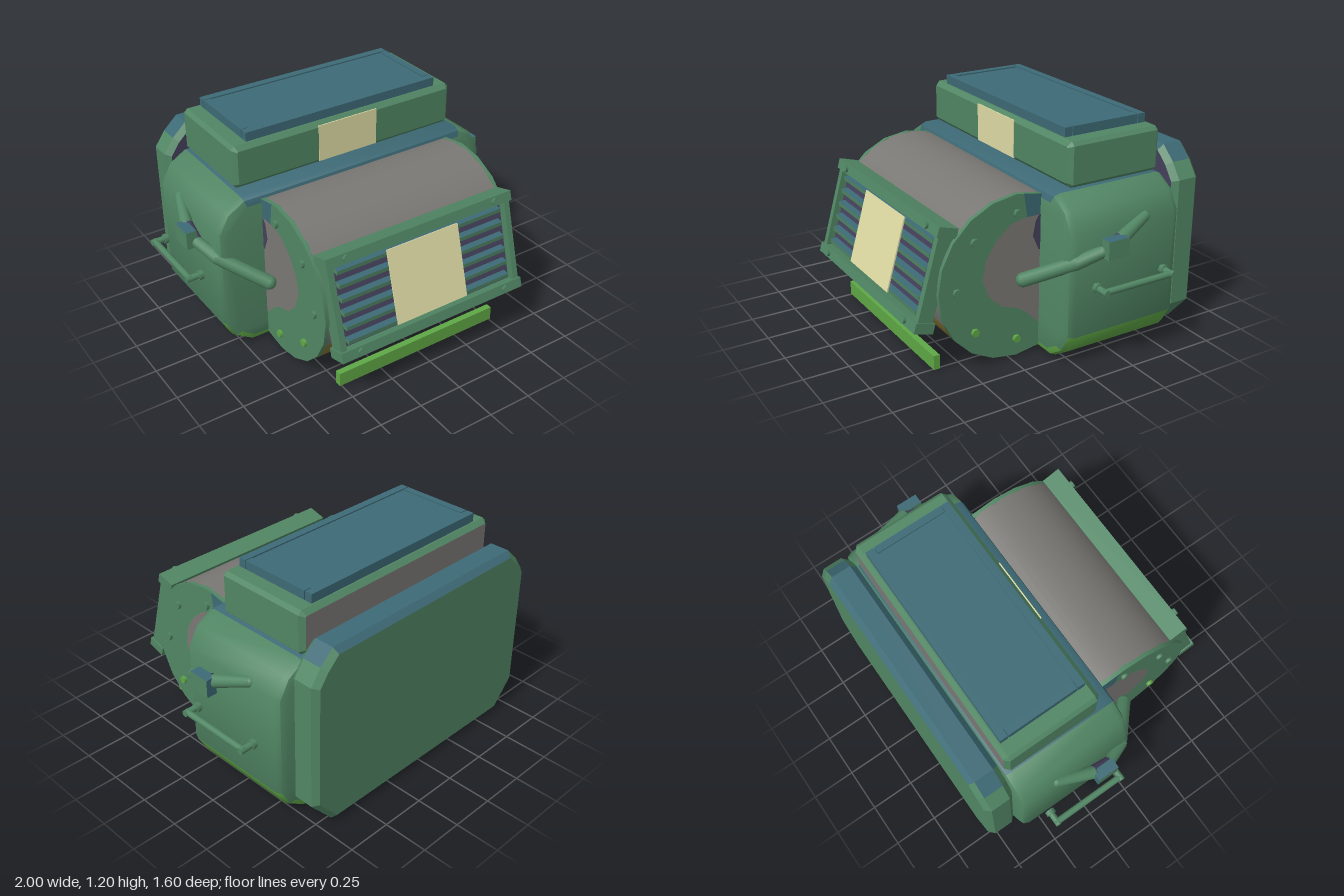
import * as THREE from 'three';
import { toCreasedNormals } from 'three/addons/utils/BufferGeometryUtils.js';

const mat = (name, color) => Object.assign(new THREE.MeshStandardMaterial({ color }), { name });

export function createModel() {
  const root = new THREE.Group();
  const green = mat('shell green', 0x518664);
  const blue = mat('top blue', 0x3d6a76);
  const lime = mat('underside lime', 0x5fa846);
  const grey = mat('drum grey', 0x7a7874);
  const olive = mat('drum olive', 0x807335);
  const purple = mat('recess purple', 0x45405c);
  const cream = mat('label cream', 0xdfdca5);

  const add = (parent, name, geo, material, x = 0, y = 0, z = 0) => {
    const m = new THREE.Mesh(geo, material);
    m.name = name;
    m.position.set(x, y, z);
    parent.add(m);
    return m;
  };
  const box = (w, h, d) => new THREE.BoxGeometry(w, h, d);

  // Groups triangles by the direction they face; pick returns a material index
  const paint = (geo, pick) => {
    geo.clearGroups();
    const p = geo.attributes.position;
    const [a, b, c] = [0, 1, 2].map(() => new THREE.Vector3());
    const n = new THREE.Vector3();
    let start = 0, last = -1;
    for (let i = 0; i < p.count; i += 3) {
      a.fromBufferAttribute(p, i);
      b.fromBufferAttribute(p, i + 1);
      c.fromBufferAttribute(p, i + 2);
      n.crossVectors(b.sub(a), c.sub(a)).normalize();
      const k = pick(n);
      if (k !== last) {
        if (last >= 0) geo.addGroup(start, i - start, last);
        start = i;
        last = k;
      }
    }
    geo.addGroup(start, p.count - start, last);
    return geo;
  };

  // Bevelled block from half an outline (x > 0, bottom to top), between z0 and z1
  const block = (half, z0, z1, bevel, segments = 1) => {
    const pts = [...half, ...half.map(([x, y]) => [-x, y]).reverse()];
    const geo = new THREE.ExtrudeGeometry(new THREE.Shape(pts.map(p => new THREE.Vector2(...p))), {
      depth: z1 - z0 - 2 * bevel, bevelSize: bevel, bevelThickness: bevel,
      bevelOffset: -bevel, bevelSegments: segments,
    });
    return geo.translate(0, 0, z0 + bevel);
  };

  // Main housing, blue on its flat top and front top edge
  const bodyHalf = [[0.7, 0], [0.8, 0.065], [0.86, 0.17], [0.86, 0.74], [0.8, 0.845], [0.7, 0.905]];
  const bodyTop = n => n.y > 0.9 || (n.y > 0.3 && n.z > 0.3 && Math.abs(n.x) < 0.1);
  add(root, 'housing', paint(toCreasedNormals(block(bodyHalf, -0.625, 0.07, 0.045, 2), 0.7),
    n => n.y < -0.2 ? 1 : bodyTop(n) ? 2 : 0), [green, lime, blue]);

  // Back plate
  const backHalf = [[0.66, 0], [0.8, 0.16], [0.8, 0.87], [0.74, 0.955], [0.66, 1.03]];
  add(root, 'backPlate', paint(block(backHalf, -0.8, -0.63, 0.03),
    n => n.y > 0.6 ? 1 : n.z > 0.9 ? 2 : 0), [green, blue, purple]);

  // Top box with lid
  const topHalf = [[0.675, 0.908], [0.695, 0.928], [0.695, 1.13], [0.675, 1.15]];
  add(root, 'topBox', paint(block(topHalf, -0.605, -0.034, 0.025),
    n => n.z < -0.9 ? 1 : 0), [green, grey]);
  add(root, 'lidPanel', box(1.12, 0.045, 0.42), blue, 0, 1.17, -0.32);
  for (const s of [-1, 1]) {
    add(root, 'lidRail', box(1.2, 0.05, 0.044), blue, 0, 1.175, -0.32 + s * 0.23);
    add(root, 'lidSideRail', box(0.04, 0.05, 0.405), blue, s * 0.58, 1.175, -0.32);
  }
  add(root, 'topLabel', box(0.37, 0.21, 0.006), cream, 0, 1.03, -0.035);

  // Drum: grey upper arc, olive lower arc
  const cy = 0.455, cz = 0.21, split = -0.4;
  const arc = (from, to) => new THREE.CylinderGeometry(0.447, 0.447, 1.16, 40, 1, true, from, to - from).rotateZ(Math.PI / 2);
  add(root, 'drumUpper', arc(split, Math.PI), grey, 0, cy, cz);
  add(root, 'drumLower', arc(-Math.PI, split), olive, 0, cy, cz);

  // Thin painted patch on a drum end; points are [z, y]
  const patch = (name, pts, material, s, x) => {
    const shape = new THREE.Shape(pts.map(([z, y]) => new THREE.Vector2(-s * z, y)));
    add(root, name, new THREE.ShapeGeometry(shape).rotateY(s * Math.PI / 2), material, s * x);
  };

  for (const s of [-1, 1]) {
    // Drum end with bolts
    add(root, 'drumEnd', new THREE.CylinderGeometry(0.45, 0.45, 0.025, 20).rotateZ(Math.PI / 2), green, s * 0.588, cy, cz);
    patch('endPatchGrey', [[0.04, 0.14], [0.08, 0.17], [0.16, 0.25], [0.21, 0.28], [0.3, 0.31], [0.37, 0.38],
      [0.41, 0.48], [0.39, 0.59], [0.33, 0.68], [0.25, 0.75], [0.17, 0.77], [0.04, 0.77]], grey, s, 0.602);
    patch('endPatchBlue', [[0.04, 0.77], [0.15, 0.77], [0.17, 0.9], [0.04, 0.87]], blue, s, 0.602);
    patch('endPatchPurple', [[0.04, 0.57], [0.08, 0.58], [0.115, 0.66], [0.1, 0.74], [0.08, 0.77], [0.04, 0.77]], purple, s, 0.604);
    for (let i = -2; i <= 2; i++) {
      const a = i * Math.PI / 4;
      add(root, 'endBolt', new THREE.CylinderGeometry(0.022, 0.022, 0.02, 6).rotateZ(Math.PI / 2),
        i < 0 ? lime : green, s * 0.608, cy + 0.35 * Math.sin(a), cz + 0.35 * Math.cos(a));
    }

    // Bent pipe, its middle length purple behind the clamp
    const pts = [[0.655, 0.46, 0.205], [0.85, 0.585, 0.02], [0.905, 0.64, -0.1], [0.905, 0.685, -0.21], [0.845, 0.745, -0.4]]
      .map(([x, y, z]) => new THREE.Vector3(s * x, y, z));
    const radii = [0.038, 0.037, 0.032, 0.036, 0.028];
    for (let i = 0; i < 5; i++) {
      add(root, 'pipeJoint', new THREE.SphereGeometry(radii[i], 12, 8), green).position.copy(pts[i]);
      if (i === 4) continue;
      const dir = pts[i + 1].clone().sub(pts[i]);
      const pipe = add(root, 'pipe', new THREE.CylinderGeometry(radii[i + 1], radii[i], dir.length(), 12), i === 2 ? purple : green);
      pipe.position.copy(pts[i]).add(pts[i + 1]).multiplyScalar(0.5);
      pipe.quaternion.setFromUnitVectors(new THREE.Vector3(0, 1, 0), dir.normalize());
    }
    add(root, 'pipeClamp', box(0.06, 0.1, 0.125), [green, green, blue, green, green, blue], s * 0.935, 0.663, -0.153);

    // Grab handle
    add(root, 'handleBar', new THREE.CylinderGeometry(0.018, 0.018, 0.44, 10).rotateX(Math.PI / 2), green, s * 0.98, cy, -0.275);
    for (const z of [-0.065, -0.485]) {
      add(root, 'handlePost', new THREE.CylinderGeometry(0.018, 0.018, 0.08, 10).rotateZ(Math.PI / 2), green, s * 0.96, cy, z);
      add(root, 'handleFlange', new THREE.CylinderGeometry(0.027, 0.027, 0.025, 6).rotateZ(Math.PI / 2), green, s * 0.918, cy, z);
    }
  }

  // Tilted vent on the front of the drum
  const vent = new THREE.Group();
  vent.name = 'vent';
  vent.position.set(0, 0.535, 0.662);
  vent.rotation.x = -0.28;
  root.add(vent);
  add(vent, 'ventBack', box(1.09, 0.46, 0.01), purple, 0, 0, -0.003);
  for (let i = 0; i < 6; i++) {
    const slat = add(vent, 'ventSlat', box(1.04, 0.024, 0.04), [green, green, blue, green, green, green], 0, (i - 2.5) * 0.075, 0.014);
    slat.rotation.x = 0.35;
  }
  for (const s of [-1, 1]) {
    add(vent, 'ventSide', box(0.035, 0.46, 0.085), green, s * 0.56, 0, 0);
    add(vent, 'ventRail', box(1.17, 0.055, 0.11), green, 0, s * 0.25, 0);
    for (const x of [-0.47, 0.47]) {
      add(vent, 'ventBolt', new THREE.CylinderGeometry(0.021, 0.021, 0.02, 6).rotateX(Math.PI / 2), green, x, s * 0.25, 0.06);
    }
  }
  add(vent, 'ventLabel', box(0.45, 0.41, 0.008), cream, 0, 0, 0.038);

  // Low front bar
  add(root, 'frontBar', box(1.02, 0.08, 0.035), [lime, lime, lime, lime, lime, green], 0, 0.04, 0.628);

  return root;
}
